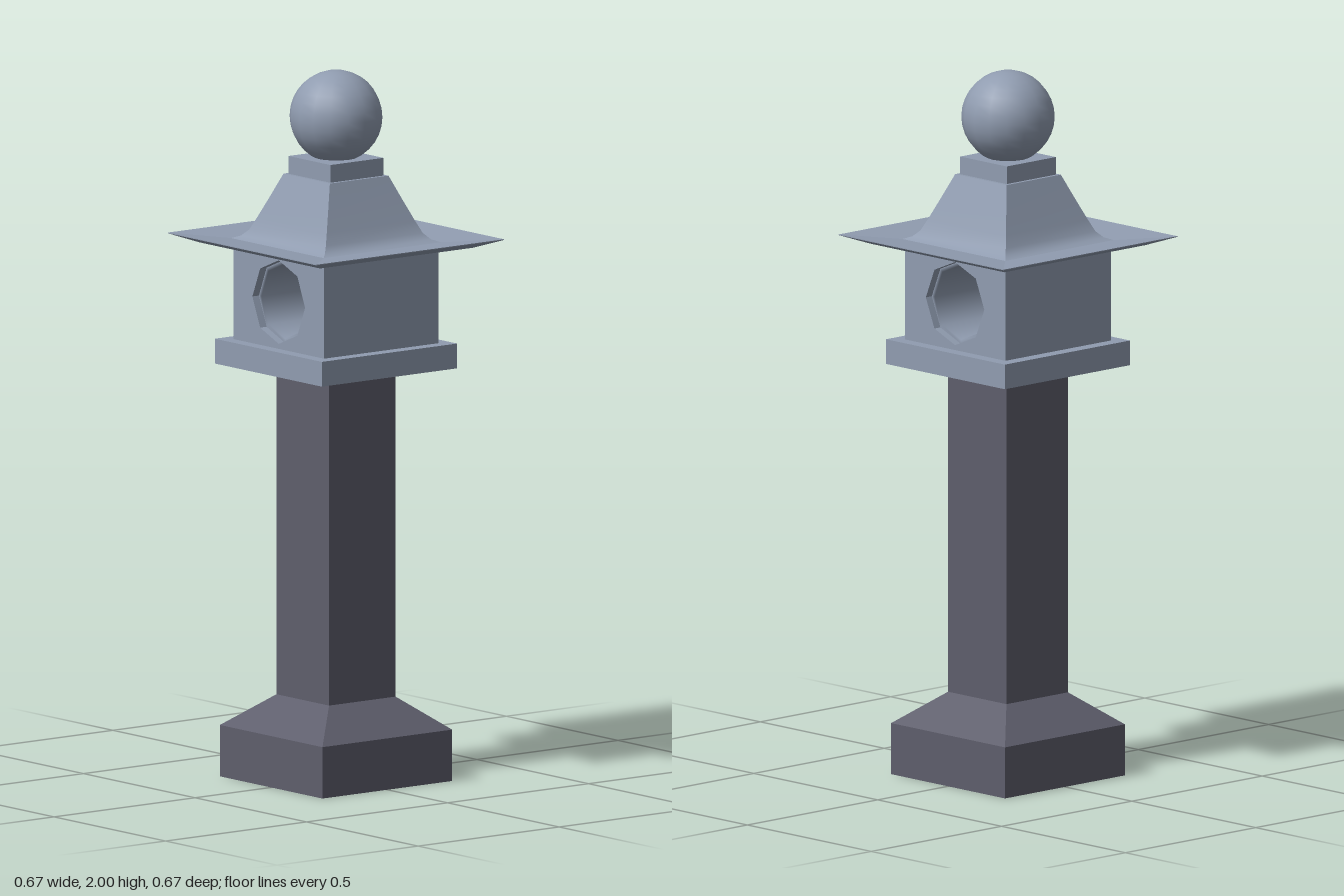
import * as THREE from 'three';

const mat = (name, color, side = THREE.FrontSide) => {
  const m = new THREE.MeshStandardMaterial({ color, side });
  m.name = name;
  return m;
};

// Four-sided shell following a profile of [half width, height]; hips stay sharp.
function squareLoft(profile) {
  const pos = [], idx = [];
  for (let s = 0; s < 4; s++) {
    const c = Math.round(Math.cos(s * Math.PI / 2)), n = Math.round(Math.sin(s * Math.PI / 2));
    const start = pos.length / 3;
    profile.forEach(([r, y], i) => {
      for (const x of [-r, r]) pos.push(x * c + r * n, y, r * c - x * n);
      if (i < profile.length - 1) {
        const a = start + i * 2;
        idx.push(a, a + 1, a + 3, a, a + 3, a + 2);
      }
    });
  }
  const g = new THREE.BufferGeometry();
  g.setAttribute('position', new THREE.Float32BufferAttribute(pos, 3));
  g.setIndex(idx);
  g.computeVertexNormals();
  return g;
}

export function createModel() {
  const group = new THREE.Group();
  group.name = 'gardenLantern';
  const dark = mat('darkStone', 0x5e5e6c);
  const light = mat('lightStone', 0x909cb0);

  const add = (name, geometry, material) => {
    const mesh = new THREE.Mesh(geometry, material);
    mesh.name = name;
    group.add(mesh);
    return mesh;
  };
  const block = (name, half, y0, y1, material) =>
    add(name, new THREE.BoxGeometry(half * 2, y1 - y0, half * 2).translate(0, (y0 + y1) / 2, 0), material);

  // Pedestal and post
  block('base', 0.23, 0, 0.145, dark);
  add('baseSlope', squareLoft([[0.23, 0.145], [0.118, 0.235]]), dark);
  block('post', 0.118, 0.235, 1.165, dark);
  block('platform', 0.24, 1.165, 1.235, light);

  // Lamp housing with an octagonal opening running from side to side
  const half = 0.203, holeY = 1.367, rim = 0.118, bore = 0.106;
  const wall = new THREE.Shape();
  wall.moveTo(-half, 1.235).lineTo(half, 1.235).lineTo(half, 1.5).lineTo(-half, 1.5).closePath();
  const hole = new THREE.Path();
  for (let i = 0; i < 8; i++) {
    const a = i * Math.PI / 4;
    hole[i ? 'lineTo' : 'moveTo'](rim * Math.cos(a), holeY + rim * Math.sin(a));
  }
  hole.closePath();
  wall.holes.push(hole);
  add('lampHousing', new THREE.ExtrudeGeometry(wall, { depth: half * 2, bevelEnabled: false })
    .translate(0, 0, -half).rotateY(Math.PI / 2), light);

  // Narrower lining set just inside the opening
  const lining = [[rim, 0.18], [bore, 0.18], [bore, -0.18], [rim, -0.18]]
    .map(([r, y]) => new THREE.Vector2(r, y));
  add('openingLining', new THREE.LatheGeometry(lining, 8)
    .rotateZ(Math.PI / 2).translate(0, holeY, 0), mat('liningStone', 0x909cb0, THREE.DoubleSide));

  // Roof: upturned eaves and a concave hipped top
  add('eaveUnderside', squareLoft([[0, 1.495], [0.2, 1.495], [0.27, 1.506], [0.333, 1.53]]), light);
  add('eaveTop', squareLoft([[0.333, 1.53], [0.333, 1.532], [0.333, 1.532], [0.208, 1.52]]), light);
  add('roof', squareLoft([[0.208, 1.52], [0.188, 1.528], [0.172, 1.545], [0.157, 1.578],
    [0.132, 1.637], [0.104, 1.705], [0.104, 1.705], [0, 1.705]]), light);

  // Finial
  block('finialNeck', 0.094, 1.705, 1.755, light);
  add('finialBall', new THREE.SphereGeometry(0.13, 16, 16).translate(0, 1.87, 0), light);
  return group;
}
